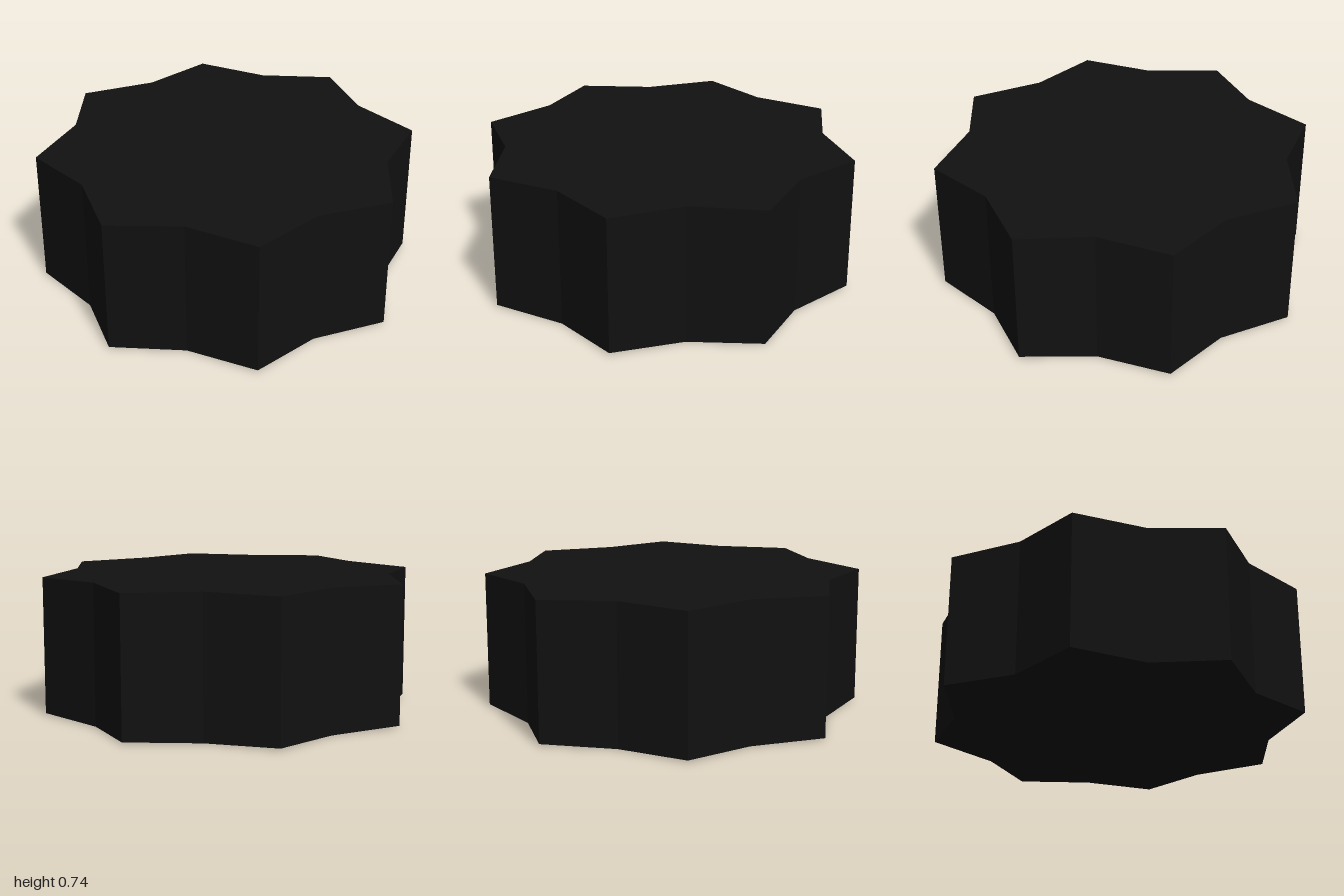
import * as THREE from 'three';

const POINTS = 8;
const HEIGHT = 0.735;
const NOTCH_RADIUS = 0.844;

export function createModel() {
  const group = new THREE.Group();
  group.name = 'starBlock';

  // Sixteen-sided drum: odd corners are pulled in as notches, even ones are tips
  const geometry = new THREE.CylinderGeometry(1, 1, HEIGHT, POINTS * 2);
  geometry.translate(0, HEIGHT / 2, 0);
  const pos = geometry.attributes.position;
  for (let i = 0; i < pos.count; i++) {
    const x = pos.getX(i), y = pos.getY(i), z = pos.getZ(i);
    if (Math.hypot(x, z) < 0.5) continue; // cap centres stay put
    const corner = Math.round(Math.atan2(x, z) / (Math.PI / POINTS));
    if (corner % 2 !== 0) {
      pos.setXYZ(i, x * NOTCH_RADIUS, y, z * NOTCH_RADIUS);
    } else {
      // tips are slightly shorter than the body
      pos.setY(i, y > HEIGHT / 2 ? HEIGHT - 0.005 : 0.01);
    }
  }
  const faceted = geometry.toNonIndexed();
  faceted.computeVertexNormals();

  const material = new THREE.MeshStandardMaterial({ color: 0x111111, flatShading: true });
  const body = new THREE.Mesh(faceted, material);
  body.name = 'starBody';
  group.add(body);
  return group;
}
